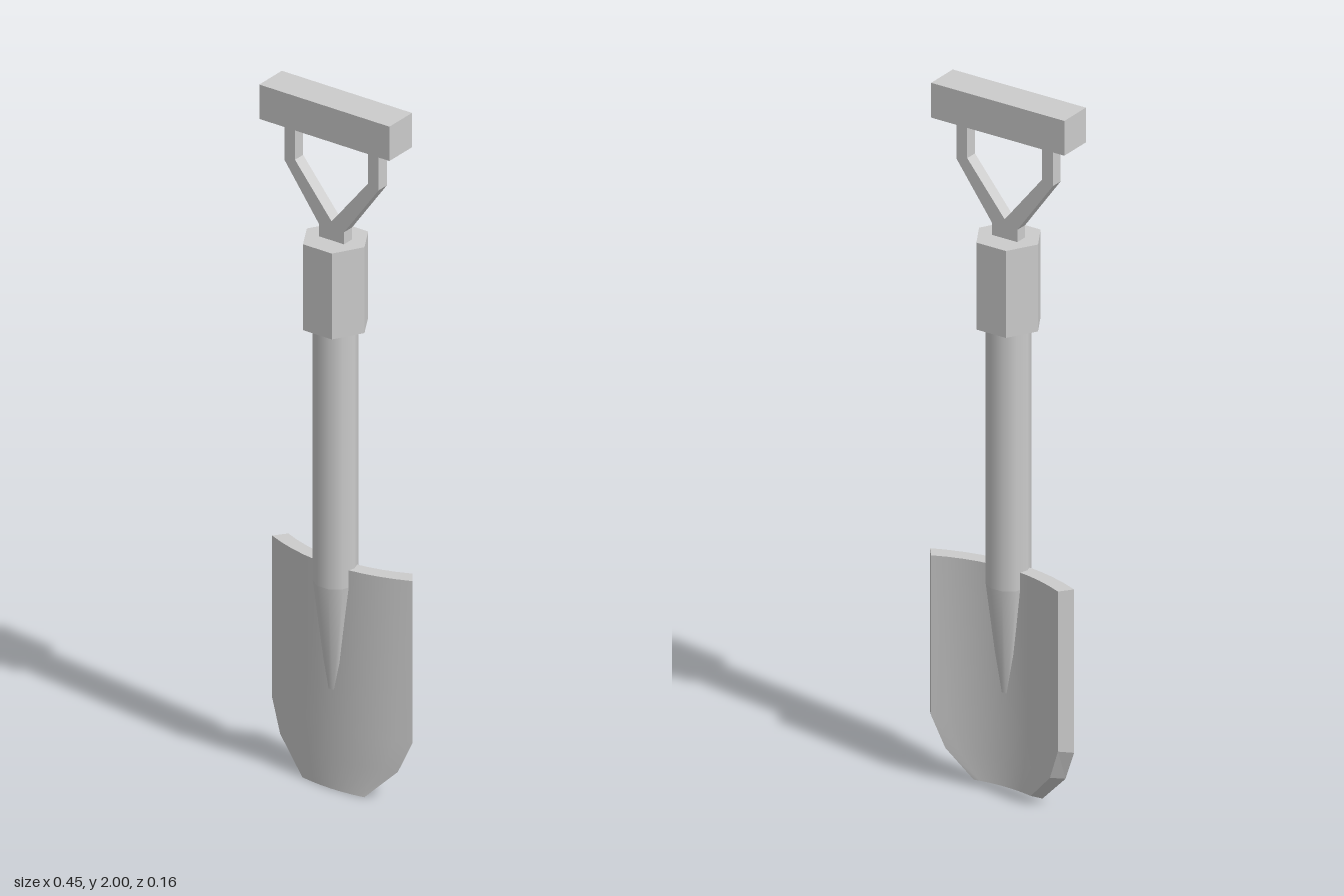
import * as THREE from 'three';

const smooth = new THREE.MeshStandardMaterial({ color: 0xcccccc });
const flat = new THREE.MeshStandardMaterial({ color: 0xcccccc, flatShading: true });

function addMesh(group, name, geometry, material, y = 0) {
  const mesh = new THREE.Mesh(geometry, material);
  mesh.name = name;
  mesh.position.y = y;
  group.add(mesh);
  return mesh;
}

function geometryFrom(points, index) {
  const geometry = new THREE.BufferGeometry().setFromPoints(points);
  geometry.setIndex(index);
  geometry.computeVertexNormals();
  return geometry;
}

// Prism or cone frustum between two heights, with corners on the x axis
function frustum(rTop, rBottom, yBottom, yTop, sides) {
  return new THREE.CylinderGeometry(rTop, rBottom, yTop - yBottom, sides)
    .rotateY(Math.PI / 2)
    .translate(0, (yBottom + yTop) / 2, 0);
}

// Dished blade: curved front and back sheets joined by a bevelled rim
function addBlade(group) {
  const COLS = 10;
  const sheet = (rows, zMid, drop) => rows.map(([y, half]) =>
    Array.from({ length: COLS + 1 }, (_, c) => {
      const x = half * (2 * c / COLS - 1);
      return new THREE.Vector3(x, y, zMid - drop * (x / rows[0][1]) ** 2);
    }));
  const front = sheet([[0.65, 0.227], [0.18, 0.227], [0.09, 0.19], [0, 0.1]], 0.02, 0.05);
  const back = sheet([[0.65, 0.2], [0.19, 0.2], [0.1, 0.165], [0.02, 0.09]], -0.02, 0.045);

  const panel = (grid, flip) => {
    const index = [];
    for (let r = 0; r < grid.length - 1; r++) {
      for (let c = 0; c < COLS; c++) {
        const a = r * (COLS + 1) + c, d = a + 1, b = a + COLS + 1, e = b + 1;
        index.push(...(flip ? [a, d, b, b, d, e] : [a, b, d, b, e, d]));
      }
    }
    return geometryFrom(grid.flat(), index);
  };
  addMesh(group, 'bladeFront', panel(front, false), smooth);
  addMesh(group, 'bladeBack', panel(back, true), smooth);

  // Rim follows the outline clockwise from the top left corner
  const outline = (grid) => [
    ...grid[0],
    ...grid.slice(1, -1).map((row) => row[COLS]),
    ...[...grid[grid.length - 1]].reverse(),
    ...grid.slice(1, -1).reverse().map((row) => row[0]),
  ];
  const f = outline(front), b = outline(back), n = f.length, index = [];
  for (let i = 0; i < n; i++) {
    const j = (i + 1) % n;
    index.push(i, j, n + j, i, n + j, n + i);
  }
  addMesh(group, 'bladeRim', geometryFrom([...f, ...b], index), flat);
}

export function createModel() {
  const group = new THREE.Group();
  group.name = 'shovel';

  addBlade(group);

  // Shaft and the tapered socket that sinks into the blade
  addMesh(group, 'shaft', frustum(0.06, 0.06, 0.6, 1.36, 10), smooth);
  addMesh(group, 'socketTaper', frustum(0.06, 0.022, 0.29, 0.6, 10), smooth);

  // Hexagonal collar
  addMesh(group, 'collar', frustum(0.093, 0.093, 1.345, 1.595, 6), flat);

  // Forked yoke, mirrored about its centre line
  const side = [[0.04, 1.58], [0.04, 1.63], [0.152, 1.785], [0.152, 1.91],
    [0.118, 1.91], [0.118, 1.795]];
  const outline = [...side, [0, 1.65], ...side.map(([x, y]) => [-x, y]).reverse()];
  const yoke = new THREE.ExtrudeGeometry(
    new THREE.Shape(outline.map(([x, y]) => new THREE.Vector2(x, y))),
    { depth: 0.036, bevelEnabled: false },
  ).translate(0, 0, -0.018);
  addMesh(group, 'yoke', yoke, flat);

  // Cross grip
  addMesh(group, 'grip', new THREE.BoxGeometry(0.42, 0.1, 0.1), flat, 1.95);

  return group;
}
